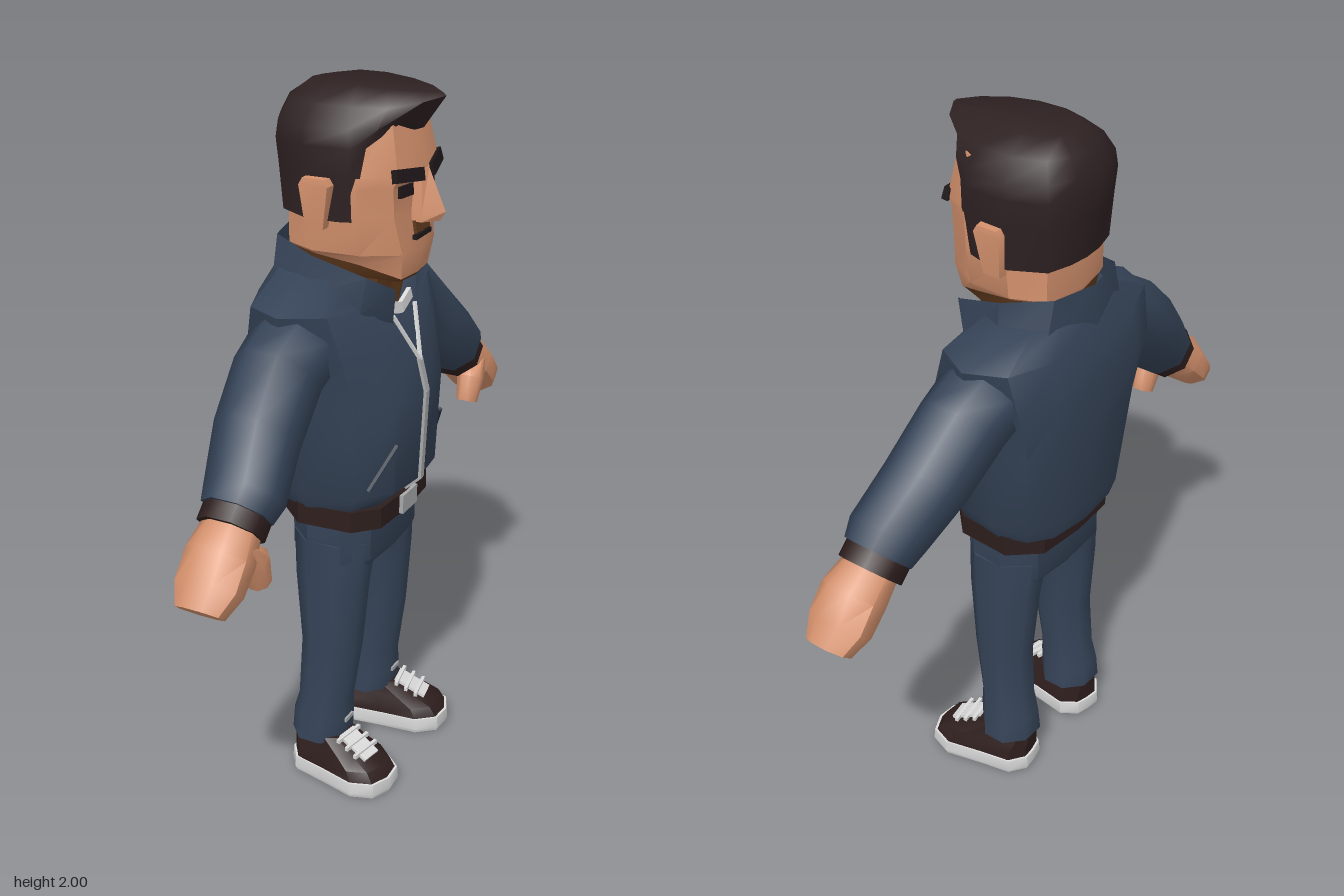
import * as THREE from 'three';
import { toCreasedNormals } from 'three/addons/utils/BufferGeometryUtils.js';

const mat = (name, color, side = THREE.FrontSide) => {
  const m = new THREE.MeshStandardMaterial({ color, side });
  m.name = name;
  return m;
};

// Skin over a stack of equal-length rings; closed rings get capped ends
function loft(rings, s = 1, closed = true, crease = 0.65) {
  const rows = rings.map(r => {
    const q = r.map(([x, y, z]) => [x * s, y, z]);
    return s < 0 ? q.reverse() : q;
  });
  const n = rows[0].length, pos = rows.flat(2), idx = [];
  for (let j = 0; j < rows.length - 1; j++) {
    for (let i = 0; i < (closed ? n : n - 1); i++) {
      const k = (i + 1) % n, a = j * n + i, b = j * n + k;
      idx.push(a, b, b + n, a, b + n, a + n);
    }
  }
  if (closed) {
    [0, rows.length - 1].forEach(j => {
      const c = pos.length / 3;
      for (let k = 0; k < 3; k++) pos.push(rows[j].reduce((t, p) => t + p[k], 0) / n);
      for (let i = 0; i < n; i++) {
        const a = j * n + i, b = j * n + (i + 1) % n;
        idx.push(c, ...(j ? [a, b] : [b, a]));
      }
    });
  }
  const g = new THREE.BufferGeometry();
  g.setAttribute('position', new THREE.Float32BufferAttribute(pos, 3));
  g.setIndex(idx);
  return toCreasedNormals(g, crease);
}

// Symmetric horizontal ring from points [x, z, dy], front centre to back centre
const half = (y, pts) => {
  const right = pts.map(([x, z, dy = 0]) => [x, y + dy, z]);
  const left = right.slice(1, -1).reverse().map(([x, h, z]) => [-x, h, z]);
  return [...right, ...left];
};

// Rounded eight-sided ring for a limb heading at an angle in the x-y plane
const limbRing = (x, y, z, thick, depth, deg) => {
  const a = THREE.MathUtils.degToRad(deg);
  return Array.from({ length: 8 }, (_, i) => {
    const t = (i + 0.5) * Math.PI / 4, c = Math.cos(t) * thick * 1.08, d = Math.sin(t) * depth * 1.08;
    return [x - Math.sin(a) * c, y + Math.cos(a) * c, z + d];
  });
};

export function createModel() {
  const navy = mat('navy cloth', 0x354357, THREE.DoubleSide);
  const skin = mat('skin', 0xd4916d);
  const hair = mat('hair', 0x2e2122);
  const leather = mat('dark leather', 0x2d1e1d);
  const white = mat('white', 0xdadada);
  const metal = mat('metal', 0xa6a7a8);
  const dark = mat('dark detail', 0x1e1719);
  const shade = mat('throat brown', 0x5f391c);
  const seam = mat('seam navy', 0x253040);

  const figure = new THREE.Group();
  const add = (name, geo, m, parent = figure) => {
    const mesh = new THREE.Mesh(geo, m);
    mesh.name = name;
    parent.add(mesh);
    return mesh;
  };
  // Flat bar running from a to b
  const bar = (name, a, b, w, t, m, parent = figure) => {
    const p = new THREE.Vector3(...a), q = new THREE.Vector3(...b);
    const mesh = add(name, new THREE.BoxGeometry(w, p.distanceTo(q), t), m, parent);
    mesh.position.copy(p).lerp(q, 0.5);
    mesh.quaternion.setFromUnitVectors(new THREE.Vector3(0, 1, 0), q.sub(p).normalize());
  };

  // Head, bevelled jaw underside and throat
  const jaw = [[0, .165], [.08, .155], [.132, .06, .04], [.138, -.06, .055], [.105, -.15, .06], [0, -.17, .06]];
  add('head', loft([
    half(1.51, jaw),
    half(1.58, [[0, .18], [.095, .165], [.15, .07], [.16, -.06], [.12, -.15], [0, -.172]]),
    half(1.68, [[0, .165], [.115, .15], [.165, .07], [.17, -.06], [.12, -.15], [0, -.172]]),
    half(1.757, [[0, .165], [.12, .15], [.17, .07], [.17, -.06], [.12, -.15], [0, -.172]]),
    half(1.785, [[0, .187], [.12, .162], [.17, .07], [.17, -.06], [.12, -.15], [0, -.172]]),
    half(1.93, [[0, .15], [.1, .135], [.15, .07], [.16, -.06], [.12, -.15], [0, -.17]]),
  ], 1, true, 0.5), skin);
  add('jawUnderside', loft([
    half(1.5, jaw.map(([x, z, dy = 0]) => [x * .88, z * .95, dy * .3])), half(1.511, jaw),
  ]), shade);
  add('throat', loft([
    half(1.38, [[0, .1], [.08, .06], [.11, -.04], [.08, -.13], [0, -.15]]),
    half(1.535, [[0, .13], [.09, .1], [.12, -.04], [.08, -.13], [0, -.15]]),
  ]), shade);

  // Hair: side and back block rising into a swept quiff
  add('hair', loft([
    half(1.67, [[0, .04], [.1, .045], [.165, .055], [.176, .02], [.178, -.07], [.13, -.16], [.06, -.18], [0, -.185]]),
    half(1.79, [[0, .05], [.1, .06], [.165, .08], [.182, .05], [.188, -.07], [.14, -.165], [.07, -.195], [0, -.205]]),
    half(1.86, [[0, .06], [.1, .07], [.155, .09], [.182, .06], [.19, -.07], [.145, -.17], [.075, -.205], [0, -.215]]),
    half(1.905, [[0, .175, -.015], [.08, .15, .01], [.14, .115], [.175, .05], [.185, -.07], [.14, -.165], [.07, -.198], [0, -.208]]),
    half(1.955, [[0, .235, .02], [.06, .2, .012], [.115, .13], [.14, .04], [.15, -.06], [.115, -.145], [.06, -.175], [0, -.185]]),
    half(1.988, [[0, .225, -.005], [.04, .18], [.075, .11, .004], [.085, .03, .01], [.09, -.05, .008], [.07, -.11], [.035, -.13], [0, -.14]]),
  ], 1, true, 0.8), hair);

  // Nose, nostril shadow and mouth
  add('nose', loft([
    half(1.655, [[0, .225], [.038, .19], [.038, .15], [0, .14]]),
    half(1.68, [[0, .24], [.036, .19], [.036, .15], [0, .14]]),
    half(1.79, [[0, .192], [.02, .18], [.025, .15], [0, .14]]),
  ], 1, true, 0.3), skin);
  bar('upperLip', [0, 1.625, .175], [0, 1.658, .17], .08, .009, shade);
  bar('mouth', [-.045, 1.615, .175], [.045, 1.615, .175], .012, .012, dark);

  for (const s of [-1, 1]) {
    bar('eyebrow', [.025 * s, 1.778, .184], [.132 * s, 1.792, .158], .034, .018, dark);
    bar('eye', [.038 * s, 1.741, .163], [.1 * s, 1.743, .1555], .03, .009, dark);
    add('ear', loft([
      half(1.65, [[0, .015], [.015, .015], [.015, -.035], [0, -.035]]),
      half(1.765, [[0, .04], [.028, .035], [.03, -.045], [0, -.045]]),
      half(1.783, [[0, .03], [.026, .025], [.028, -.035], [0, -.035]]),
    ]), skin).position.set(.181 * s, 0, -.025);
  }

  // Jacket body
  add('jacket', loft([
    half(.868, [[0, .12], [.13, .11], [.2, .06], [.215, -.06], [.19, -.14], [.13, -.185], [0, -.2]]),
    half(.92, [[0, .18], [.13, .165], [.215, .09], [.242, -.06], [.215, -.155], [.14, -.2], [0, -.215]]),
    half(1.18, [[0, .193], [.14, .175], [.235, .1], [.268, -.06], [.24, -.18], [.15, -.225], [0, -.235]]),
    half(1.33, [[0, .15], [.15, .14], [.28, .09], [.315, -.06], [.285, -.19], [.17, -.235], [0, -.25]]),
    half(1.455, [[0, .105, -.05], [.12, .09, -.015], [.29, .05], [.35, -.06], [.3, -.165], [.17, -.215], [0, -.235]]),
    half(1.52, [[0, .03, -.13], [.12, .04, -.05], [.18, .0], [.2, -.07], [.18, -.15], [.12, -.19], [0, -.21]]),
  ], 1, true, 0.9), navy);
  // Upturned collar, open at the front
  const collarRow = pts => [...pts, ...pts.slice(0, -1).reverse().map(([x, y, z]) => [-x, y, z])];
  add('collar', loft([
    collarRow([[.065, 1.38, .125], [.17, 1.43, .08], [.21, 1.47, -.06], [.16, 1.49, -.18], [0, 1.49, -.222]]),
    collarRow([[.1, 1.487, .15], [.165, 1.53, .1], [.185, 1.575, -.05], [.13, 1.6, -.18], [0, 1.6, -.21]]),
  ], 1, false), navy);

  // Shirt neckline, zip and open zip edges
  for (const s of [-1, 1]) bar('shirtNeck', [0, 1.403, .116], [.072 * s, 1.422, .108], .03, .012, white);
  const zip = [[0, 1.27, .174], [0, 1.18, .196], [0, .92, .183], [0, .88, .14]];
  zip.slice(1).forEach((p, i) => bar('zip', zip[i], p, .02, .009, metal));
  bar('zipShadow', [.013, 1.2, .189], [.013, .92, .181], .012, .009, leather);

  // Hips, belt, buckle and crotch gusset
  const hip = [[0, .11], [.14, .1], [.2, .04], [.21, -.06], [.14, -.14], [0, -.15]];
  add('hips', loft([half(.69, hip.map(([x, z]) => [x * .97, z * .92])), half(.71, hip), half(.83, hip)]), navy);
  const waist = hip.map(([x, z]) => [x * 1.03, z + (z > 0 ? .033 : -.025)]);
  add('belt', loft([half(.815, waist), half(.875, waist)]), leather);
  bar('buckle', [0, .818, .146], [0, .872, .146], .09, .012, metal);
  add('crotch', loft([
    half(.657, [[0, .05], [.08, .045], [.08, -.08], [0, -.085]]),
    half(.692, [[0, .1], [.12, .09], [.12, -.12], [0, -.13]]),
  ]), leather);

  for (const s of [-1, 1]) {
    // Zip edge and slanted pocket
    bar('zipEdge', [.065 * s, 1.4, .126], [0, 1.265, .176], .008, .009, white);
    bar('pocket', [.135 * s, 1.07, .176], [.2 * s, .95, .122], .009, .011, seam);

    // Sleeve, cuff and hand
    add('sleeve', loft([
      limbRing(.26, 1.35, -.06, .11, .115, -35),
      limbRing(.35, 1.308, -.06, .113, .11, -41),
      limbRing(.485, 1.195, -.045, .105, .107, -42),
      limbRing(.60, 1.09, -.015, .095, .1, -44),
      limbRing(.64, 1.055, -.015, .085, .088, -44),
    ], s, true, 0.95), navy);
    add('cuff', loft([
      limbRing(.62, 1.07, -.015, .08, .083, -44), limbRing(.672, 1.02, -.015, .08, .083, -44),
    ], s, true, 0.9), leather);
    add('hand', loft([
      limbRing(.65, 1.04, -.015, .062, .068, -44),
      limbRing(.73, .977, -.01, .07, .086, -46),
      limbRing(.785, .918, -.01, .058, .086, -50),
      limbRing(.832, .873, -.01, .045, .062, -50),
    ], s, true, 0.9), skin);
    add('thumb', loft([
      limbRing(.70, 1.0, .03, .04, .038, -75),
      limbRing(.663, .95, .042, .042, .038, -115),
      limbRing(.638, .877, .042, .03, .03, -112),
    ], s, true, 0.9), skin);

    // Trouser leg from the hem up: [y, x, z, half width, half depth]
    add('leg', loft([
      [.12, .149, -.05, .087, .08], [.19, .149, -.045, .08, .08], [.24, .147, -.038, .073, .073],
      [.42, .142, -.02, .072, .082], [.63, .135, -.02, .078, .1], [.76, .115, -.02, .095, .11],
    ].map(([y, x, z, w, d]) => limbRing(x, y, z, w, d, -90).reverse()), s, true, 0.95), navy);
    bar('hemMark', [.13 * s, .18, .036], [.175 * s, .18, .036], .012, .009, metal);

    // Shoe, turned slightly outward
    const shoe = new THREE.Group();
    shoe.name = 'shoe';
    shoe.position.set(.17 * s, 0, .032);
    shoe.rotation.y = .18 * s;
    figure.add(shoe);
    const foot = [[0, .165], [.06, .15], [.094, .09], [.086, -.02], [.082, -.12], [.04, -.162], [0, -.165]];
    const fit = (y, k, zs, zo) => half(y, foot.map(([x, z]) => [x * k, z * zs + zo]));
    add('sole', loft([fit(0, .95, .97, 0), fit(.012, 1, 1, 0), fit(.046, .98, .98, 0)]), white, shoe);
    add('shoeUpper', loft([
      fit(.045, .93, .94, 0), fit(.075, .88, .88, -.01), fit(.1, .74, .72, -.04), fit(.135, .62, .5, -.075),
    ]), leather, shoe);
    bar('tongue', [0, .094, .098], [0, .14, .005], .062, .009, white, shoe);
    [.075, .045, .015].forEach((z, i) => {
      const y = .108 + i * .014;
      bar('lace', [-.05, y, z], [.05, y, z], .012, .01, white, shoe);
    });
  }

  // The figure looks toward +x
  figure.rotation.y = Math.PI / 2;
  const model = new THREE.Group();
  model.name = 'man in jacket';
  model.add(figure);
  return model;
}
